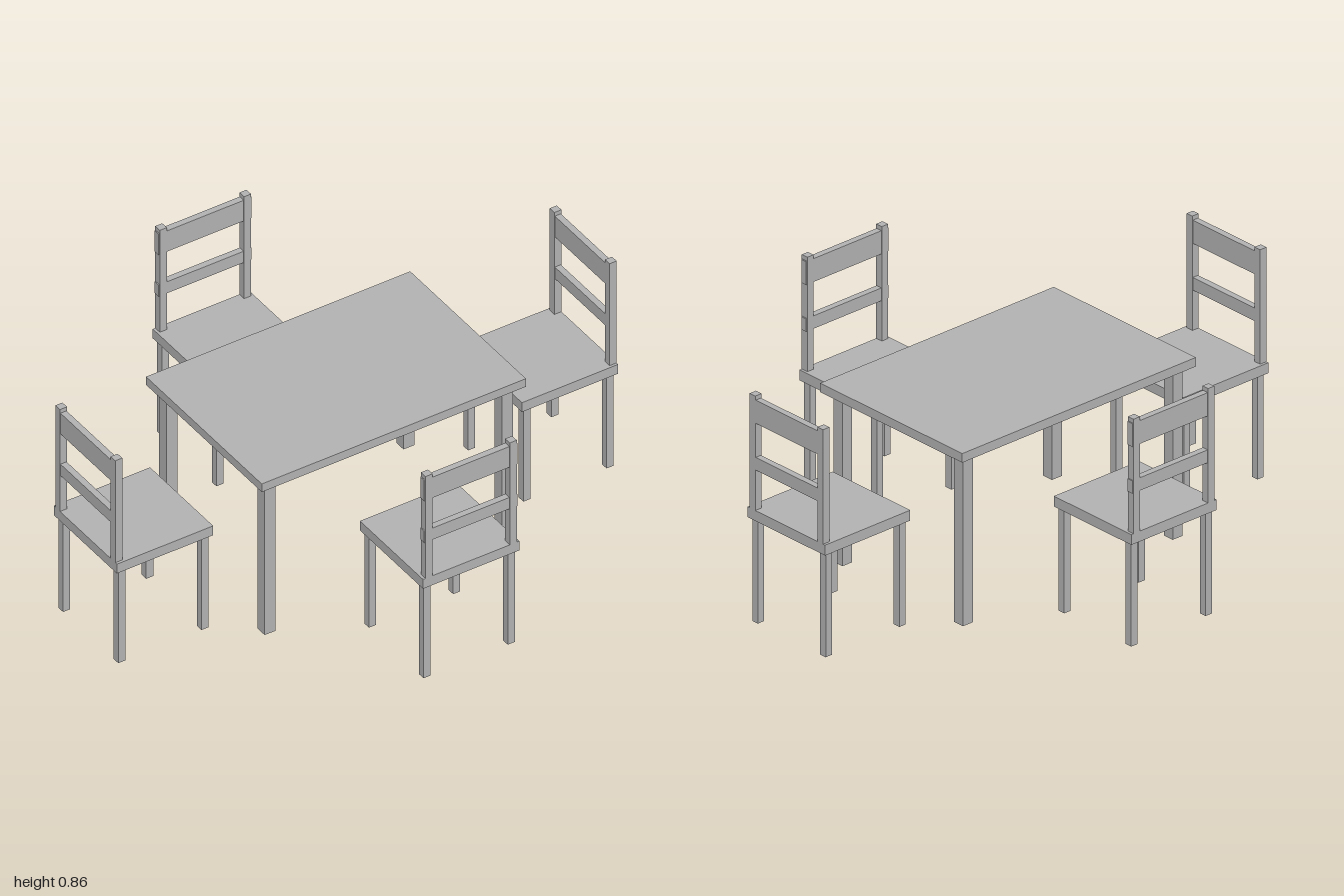
import * as THREE from 'three';

const wood = new THREE.MeshStandardMaterial({ color: 0xb2b2b2 });
wood.name = 'plain grey';

// Box given its size, centre x/z and bottom height
function addBox(parent, name, w, h, d, x, y, z) {
  const mesh = new THREE.Mesh(new THREE.BoxGeometry(w, h, d), wood);
  mesh.name = name;
  mesh.position.set(x, y + h / 2, z);
  parent.add(mesh);
}

function createTable() {
  const table = new THREE.Group();
  table.name = 'table';
  addBox(table, 'tableTop', 1.054, 0.034, 0.704, 0, 0.634, 0);
  for (const sx of [-1, 1]) {
    for (const sz of [-1, 1]) {
      addBox(table, 'tableLeg', 0.044, 0.634, 0.044, sx * 0.473, 0, sz * 0.299);
    }
  }
  return table;
}

// Chair centred on its seat, with the backrest on +z
function createChair(slatWidth) {
  const chair = new THREE.Group();
  chair.name = 'chair';
  const seat = 0.384, post = 0.028, side = 0.168, backZ = seat / 2 - post / 2;
  addBox(chair, 'seat', seat, 0.039, seat, 0, 0.388, 0);
  for (const sx of [-1, 1]) {
    for (const sz of [-1, 1]) {
      addBox(chair, 'chairLeg', post, 0.388, post, sx * side, 0, sz * 0.166);
    }
    addBox(chair, 'backPost', post, 0.428, post, sx * side, 0.427, backZ);
  }
  addBox(chair, 'topSlat', slatWidth, 0.087, 0.024, 0, 0.752, backZ);
  addBox(chair, 'middleSlat', slatWidth, 0.048, 0.024, 0, 0.577, backZ);
  return chair;
}

export function createModel() {
  const model = new THREE.Group();
  model.name = 'diningSet';
  model.add(createTable());

  // Four chairs around the table, each facing inwards
  for (let i = 0; i < 4; i++) {
    const angle = i * Math.PI / 2;
    const alongX = i % 2 === 1;
    const distance = alongX ? 0.808 : 0.63;
    const chair = createChair(alongX ? 0.362 : 0.372);
    chair.position.set(Math.sin(angle) * distance, 0, Math.cos(angle) * distance);
    chair.rotation.y = angle;
    model.add(chair);
  }
  return model;
}
